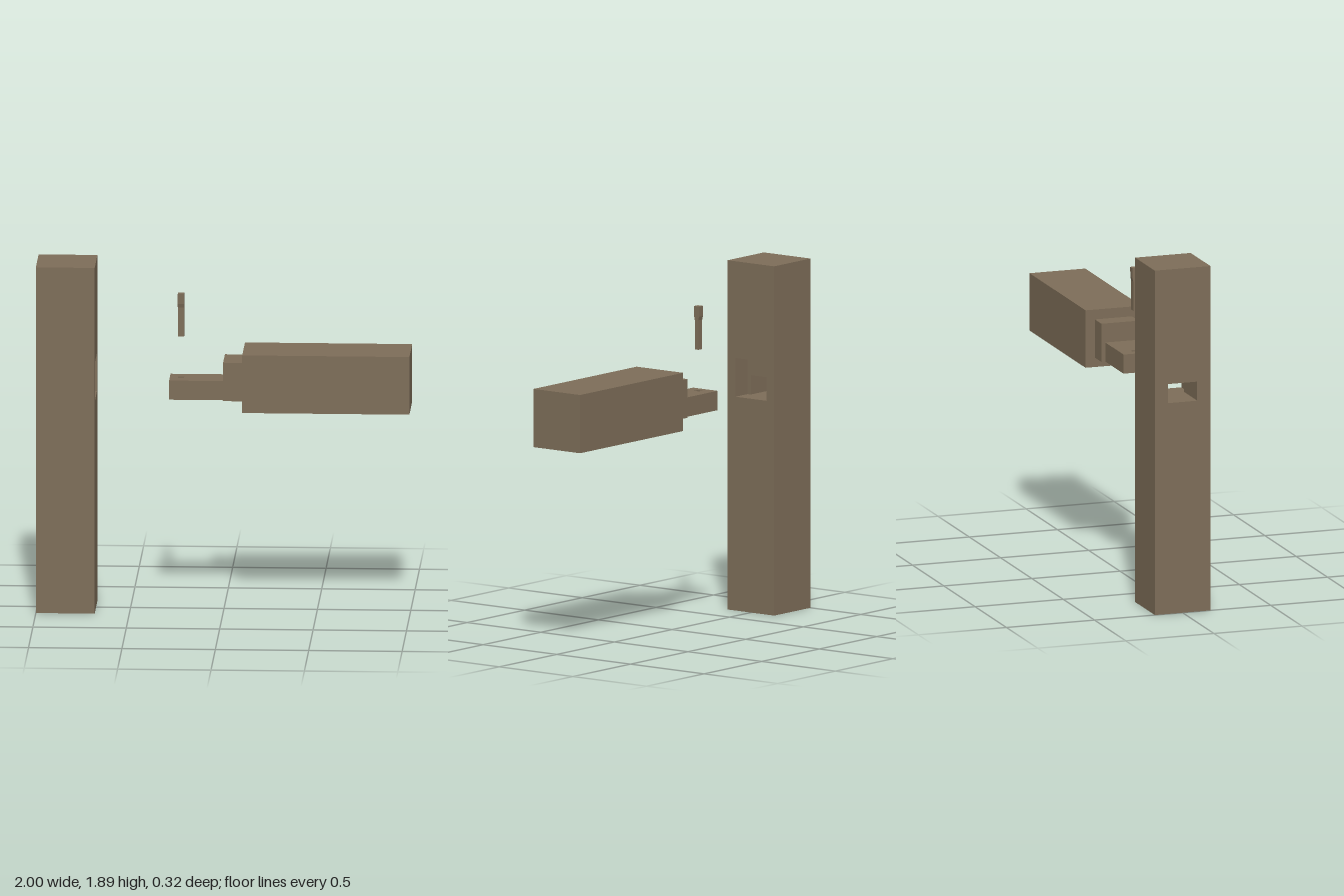
import * as THREE from 'three';

// Rectangle as a point list
const rect = (x0, x1, y0, y1) => [[x0, y0], [x1, y0], [x1, y1], [x0, y1]].map(p => new THREE.Vector2(...p));

// Extrude an outline, with optional holes
function extrude(outline, holes, depth) {
  const shape = new THREE.Shape(outline);
  holes.forEach(h => shape.holes.push(new THREE.Path(h)));
  return new THREE.ExtrudeGeometry(shape, { depth, bevelEnabled: false });
}

// Extrude a z-y outline along x
const alongX = (outline, holes, x0, x1) =>
  extrude(outline, holes, x1 - x0).rotateY(Math.PI / 2).translate(x0, 0, 0);

// Extrude an x-z outline along y
const alongY = (outline, holes, y0, y1) =>
  extrude(outline, holes, y1 - y0).rotateX(-Math.PI / 2).translate(0, y0, 0);

export function createModel() {
  const group = new THREE.Group();
  group.name = 'mortiseAndTenonJoint';
  const wood = new THREE.MeshStandardMaterial({ color: 0x7d6d58 });
  wood.name = 'wood';
  const add = (name, geometry, parent = group) => {
    const mesh = new THREE.Mesh(geometry, wood);
    mesh.name = name;
    parent.add(mesh);
  };

  const half = 0.158;
  const tenonSection = rect(-0.083, 0.083, 1.16, 1.265);
  const haunchSection = rect(-0.105, 0.105, 1.16, 1.37);

  // Post: narrow through mortise behind a wider pocket
  const post = new THREE.Group();
  post.name = 'post';
  group.add(post);
  const postFace = rect(-half, half, 0, 1.895);
  add('postThroughMortise', alongX(postFace, [tenonSection], -1, -0.79), post);
  add('postPocket', alongX(postFace, [haunchSection], -0.79, -0.685), post);

  // Beam with stepped haunch and a tenon drilled for the peg
  const beam = new THREE.Group();
  beam.name = 'beam';
  group.add(beam);
  add('beamBody', alongX(rect(-half, half, 1.108, 1.424), [], 0.105, 1), beam);
  add('haunch', alongX(haunchSection, [], 0, 0.105), beam);
  const pegHole = rect(-0.247, -0.213, -0.017, 0.017);
  add('tenon', alongY(rect(-0.29, 0, -0.083, 0.083), [pegHole], 1.16, 1.265), beam);

  // Peg: wider head narrowing to a slim shank
  const side = [[0.012, 1.49], [0.012, 1.65], [0.017, 1.67], [0.018, 1.725]];
  const pegOutline = [
    ...side.map(([z, y]) => new THREE.Vector2(z, y)),
    ...side.map(([z, y]) => new THREE.Vector2(-z, y)).reverse(),
  ];
  add('peg', alongX(pegOutline, [], -0.247, -0.213));

  return group;
}
